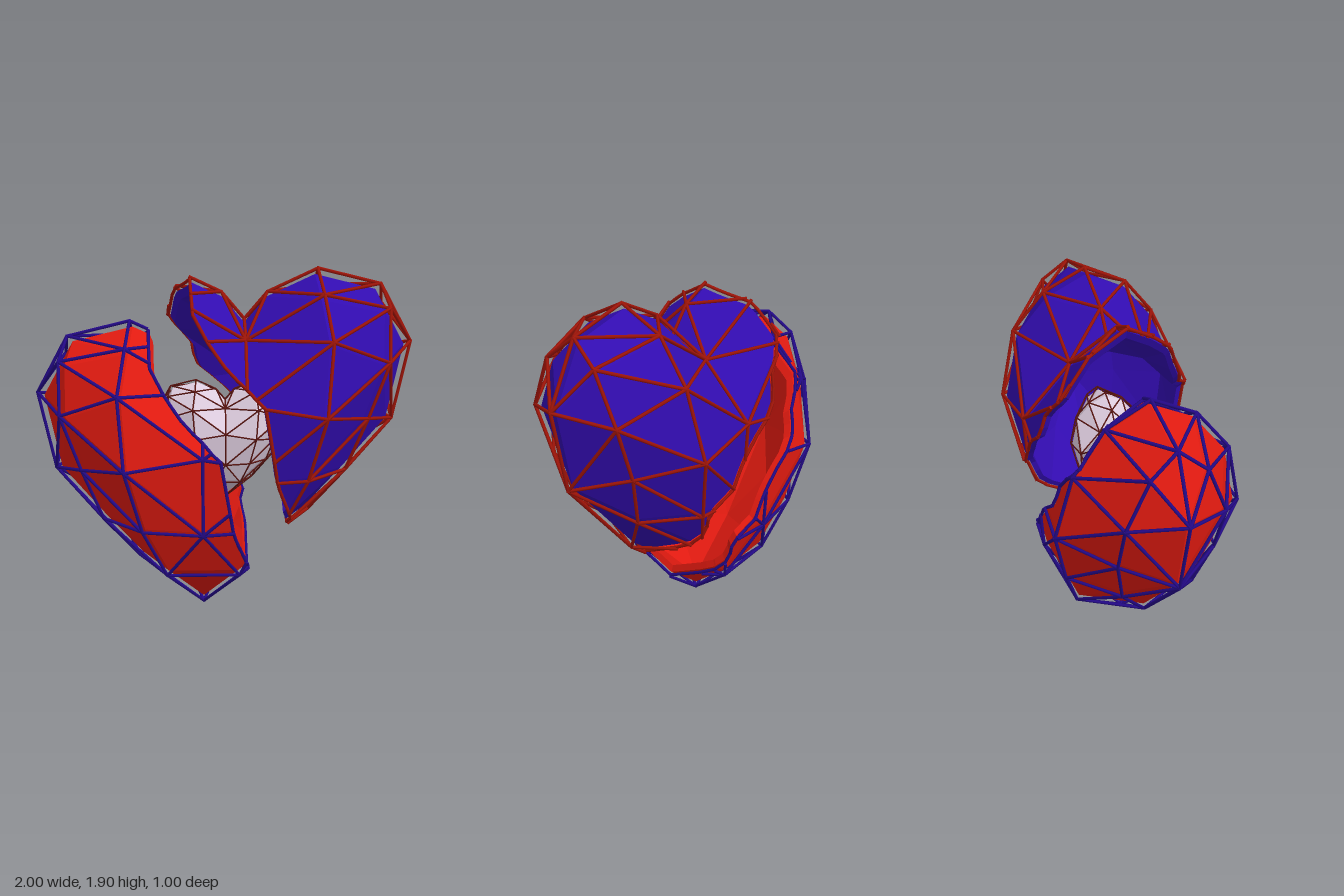
import * as THREE from 'three';
import { mergeGeometries } from 'three/addons/utils/BufferGeometryUtils.js';

const CENTER = new THREE.Vector3(0, 0.85, 0);

// One quarter of the faceted heart: rim (r), centre line (c), inner ring (a), outer ring (b)
const POINTS = {
  r0: [0, 1.36, 0], r1: [0.12, 1.5, 0], r2: [0.38, 1.62, 0], r3: [0.71, 1.54, 0],
  r4: [0.88, 1.24, 0], r5: [0.8, 0.82, 0], r6: [0.36, 0.3, 0], r7: [0, 0.01, 0],
  c1: [0, 1.28, 0.21], c2: [0, 1.0, 0.47], c3: [0, 0.59, 0.45],
  a1: [0.39, 1.51, 0.23], a2: [0.42, 1.3, 0.4], a3: [0.39, 0.94, 0.49], a4: [0.31, 0.6, 0.42], a5: [0.19, 0.32, 0.33],
  b1: [0.74, 1.43, 0.14], b2: [0.73, 1.17, 0.25], b3: [0.63, 0.88, 0.25], b4: [0.53, 0.59, 0.19],
};
const FACES = ('r0r1c1 r1a1c1 r1r2a1 r2r3a1 a1r3b1 r3r4b1 c1a1a2 a1b1a2 c1a2c2 c2a2a3 a2b1b2 b1r4b2 ' +
  'a2b2a3 b2b3a3 b2r4r5 b2r5b3 c2a3c3 a3a4c3 a3b3a4 b3b4a4 b3r5b4 b4r5r6 a4b4a5 b4r6a5 a4a5c3 a5r6r7').split(' ');

// Whole heart as triangles, mirrored in x and z and turned outwards
function heartTriangles() {
  const tris = [];
  const add = (pts) => {
    const t = pts.map((p) => new THREE.Vector3(...p));
    const n = t[1].clone().sub(t[0]).cross(t[2].clone().sub(t[0]));
    const mid = t[0].clone().add(t[1]).add(t[2]).divideScalar(3).sub(CENTER);
    tris.push(n.dot(mid) < 0 ? [t[0], t[2], t[1]] : t);
  };
  const flip = ([x, y, z], sx, sz) => [x * sx, y, z * sz];
  for (const sz of [1, -1]) {
    for (const sx of [1, -1]) {
      for (const f of FACES) add(f.match(/../g).map((k) => flip(POINTS[k], sx, sz)));
    }
    const [l, r] = [1, -1].map((sx) => flip(POINTS.a5, sx, sz));
    add([flip(POINTS.c3, 1, sz), l, r]);
    add([POINTS.r7, l, r]);
  }
  return tris;
}

// Jagged crack: x as a function of height, blended from front to back
const FRONT = [[1.6, -0.29], [1.42, -0.27], [1.28, -0.19], [1.15, -0.09], [0.99, 0.09], [0.7, 0.14], [0.57, 0.16], [0.36, 0.24], [0.2, 0.25]];
const BACK = [[1.6, -0.36], [1.33, -0.42], [1.18, -0.29], [1.05, -0.27], [0.91, -0.1], [0.78, 0.02], [0.66, 0.1], [0.58, 0.25], [0.48, 0.22], [0.36, 0.25], [0.2, 0.25]];
function lookup(table, y) {
  if (y >= table[0][0]) return table[0][1];
  for (let i = 1; i < table.length; i++) {
    const [y0, x0] = table[i - 1], [y1, x1] = table[i];
    if (y >= y1) return x0 + ((x1 - x0) * (y - y0)) / (y1 - y0);
  }
  return table[table.length - 1][1];
}
const crack = (p) => p.x - THREE.MathUtils.lerp(lookup(FRONT, p.y), lookup(BACK, p.y), THREE.MathUtils.clamp(-p.z / 0.25, 0, 1));

// Split a triangle into n * n smaller ones
function subdivide([a, b, c], n) {
  const at = (i, j) => a.clone().addScaledVector(b.clone().sub(a), i / n).addScaledVector(c.clone().sub(a), j / n);
  const out = [];
  for (let i = 0; i < n; i++) {
    for (let j = 0; j < n - i; j++) {
      out.push([at(i, j), at(i + 1, j), at(i, j + 1)]);
      if (i + j < n - 1) out.push([at(i + 1, j), at(i + 1, j + 1), at(i, j + 1)]);
    }
  }
  return out;
}

// Keep the part of the heart on one side of the crack, and collect the cut segments
function clipHeart(tris, side) {
  const kept = [], cuts = [];
  for (const tri of tris.flatMap((t) => subdivide(t, 5))) {
    const poly = [], cut = [];
    tri.forEach((p, i) => {
      const q = tri[(i + 1) % 3], dp = crack(p) * side, dq = crack(q) * side;
      if (dp >= 0) poly.push(p);
      if (dp >= 0 !== dq >= 0) {
        const m = p.clone().lerp(q, dp / (dp - dq));
        poly.push(m);
        cut.push(m);
      }
    });
    for (let i = 2; i < poly.length; i++) kept.push([poly[0], poly[i - 1], poly[i]]);
    if (cut.length === 2) cuts.push(cut);
  }
  return { kept, cuts };
}

const scaled = (p, k) => p.clone().sub(CENTER).multiplyScalar(k).add(CENTER);

function facetMesh(tris, color, name) {
  const g = new THREE.BufferGeometry().setFromPoints(tris.flat());
  g.computeVertexNormals();
  const mesh = new THREE.Mesh(g, new THREE.MeshStandardMaterial({ color, flatShading: true, side: THREE.DoubleSide }));
  mesh.name = name;
  return mesh;
}

function wireMesh(segments, radius, color, name) {
  const up = new THREE.Vector3(0, 1, 0);
  const bars = segments.filter(([a, b]) => a.distanceTo(b) > 1e-4).map(([a, b]) => {
    const d = b.clone().sub(a), len = d.length();
    const m = new THREE.Matrix4().compose(a.clone().add(b).multiplyScalar(0.5),
      new THREE.Quaternion().setFromUnitVectors(up, d.divideScalar(len)), new THREE.Vector3(1, 1, 1));
    return new THREE.CylinderGeometry(radius, radius, len + radius, 5).applyMatrix4(m);
  });
  const mesh = new THREE.Mesh(mergeGeometries(bars), new THREE.MeshStandardMaterial({ color }));
  mesh.name = name;
  return mesh;
}

function heartEdges(tris) {
  const edges = new Map();
  const key = (p) => p.toArray().map((v) => Math.round(v * 1000)).join();
  for (const t of tris) {
    t.forEach((p, i) => {
      const q = t[(i + 1) % 3];
      edges.set([key(p), key(q)].sort().join('|'), [p, q]);
    });
  }
  return [...edges.values()];
}

// Part of each edge that lies on one side of the crack
function clipEdges(edges, side) {
  const out = [], steps = 60;
  for (const [a, b] of edges) {
    let start = null, end = null;
    for (let i = 0; i <= steps; i++) {
      const p = a.clone().lerp(b, i / steps);
      const inside = crack(p) * side >= 0;
      if (inside) { start ??= p; end = p; }
      if (start && (!inside || i === steps)) {
        out.push([start, end]);
        start = null;
      }
    }
  }
  return out;
}

// Hollow broken half with a thick rim and a wire cage just outside it
function brokenHalf(tris, edges, side, color, wireColor, name) {
  const OUT = 0.96, IN = 0.9;
  const { kept, cuts } = clipHeart(tris, side);
  const shell = kept.map((t) => t.map((p) => scaled(p, OUT)));
  for (const [a, b, c] of kept) shell.push([a, c, b].map((p) => scaled(p, IN)));
  for (const [a, b] of cuts) {
    const [ao, bo, ai, bi] = [scaled(a, OUT), scaled(b, OUT), scaled(a, IN), scaled(b, IN)];
    shell.push([ao, bo, bi], [ao, bi, ai]);
  }
  const half = new THREE.Group();
  half.name = name;
  half.add(facetMesh(shell, color, name + 'Shell'));
  half.add(wireMesh([...clipEdges(edges, side), ...cuts.map((s) => s.map((p) => scaled(p, 0.985)))], 0.009, wireColor, name + 'Cage'));
  return half;
}

export function createModel() {
  const model = new THREE.Group();
  model.name = 'brokenHeart';
  const tris = heartTriangles(), edges = heartEdges(tris);

  const lower = brokenHalf(tris, edges, -1, 0xe01a10, 0x24098a, 'lowerHalf');
  lower.position.set(-0.11, 0, 0);
  const upper = brokenHalf(tris, edges, 1, 0x320cb0, 0xa01408, 'upperHalf');
  upper.position.set(0.11, 0.27, 0);

  // Small pale heart between the halves
  const core = new THREE.Group();
  core.name = 'innerHeart';
  core.add(facetMesh(tris.map((t) => t.map((p) => scaled(p, 0.96))), 0xdccbdd, 'innerHeartBody'));
  core.add(wireMesh(edges, 0.01, 0x5a1410, 'innerHeartCage'));
  core.scale.setScalar(0.41);
  core.position.set(0.01, 0.64, 0);

  model.add(lower, upper, core);
  return model;
}
